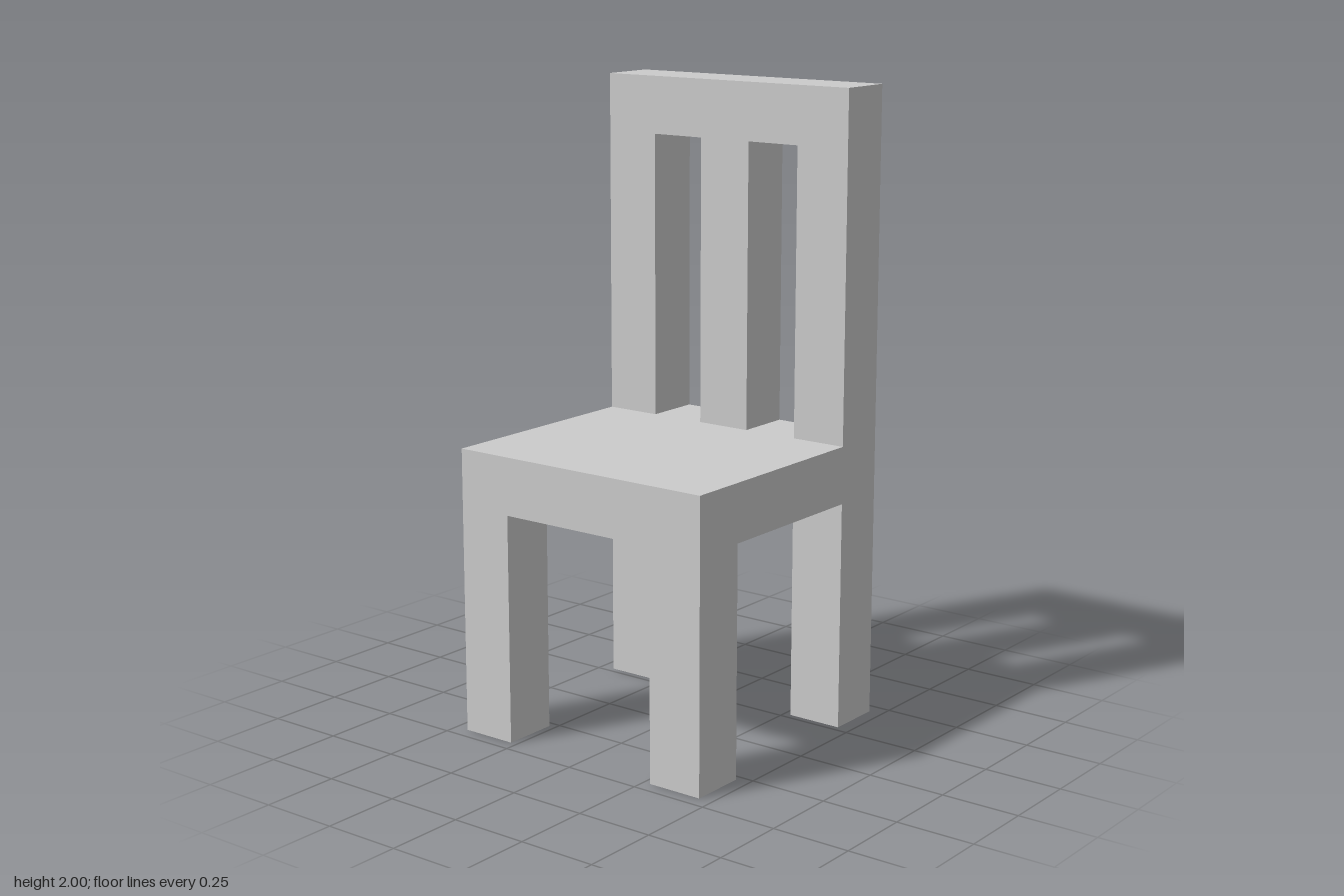
import * as THREE from 'three';

const U = 2 / 11; // beam thickness; every dimension is a multiple of it

export function createModel() {
  const group = new THREE.Group();
  const material = new THREE.MeshStandardMaterial({ color: 0xcccccc, flatShading: true });

  const add = (name, geometry, x, y, z) => {
    const mesh = new THREE.Mesh(geometry, material);
    mesh.name = name;
    mesh.position.set(x * U, y * U, z * U);
    group.add(mesh);
    return mesh;
  };
  const points = (list) => list.map(([x, y]) => new THREE.Vector2(x * U, y * U));

  // Back frame: rear legs, rails, posts and centre slat in one piece
  const outline = new THREE.Shape(points([
    [-2.5, 0], [-1.5, 0], [-1.5, 4], [1.5, 4], [1.5, 0], [2.5, 0], [2.5, 11], [-2.5, 11],
  ]));
  for (const x of [-1.5, 0.5]) {
    outline.holes.push(new THREE.Path(points([[x, 5], [x, 10], [x + 1, 10], [x + 1, 5]])));
  }
  const frame = new THREE.ExtrudeGeometry(outline, { depth: U, bevelEnabled: false });
  add('backFrame', frame.rotateY(Math.PI / 2), 1.5, 0, 0);

  // Seat slab
  add('seat', new THREE.BoxGeometry(4 * U, U, 5 * U), -0.5, 4.5, 0);

  // Legs at the free edge of the seat
  for (const side of [-1, 1]) {
    add(side > 0 ? 'seatLegA' : 'seatLegB', new THREE.BoxGeometry(U, 4 * U, U), -2, 2, side * 2);
  }

  return group;
}
